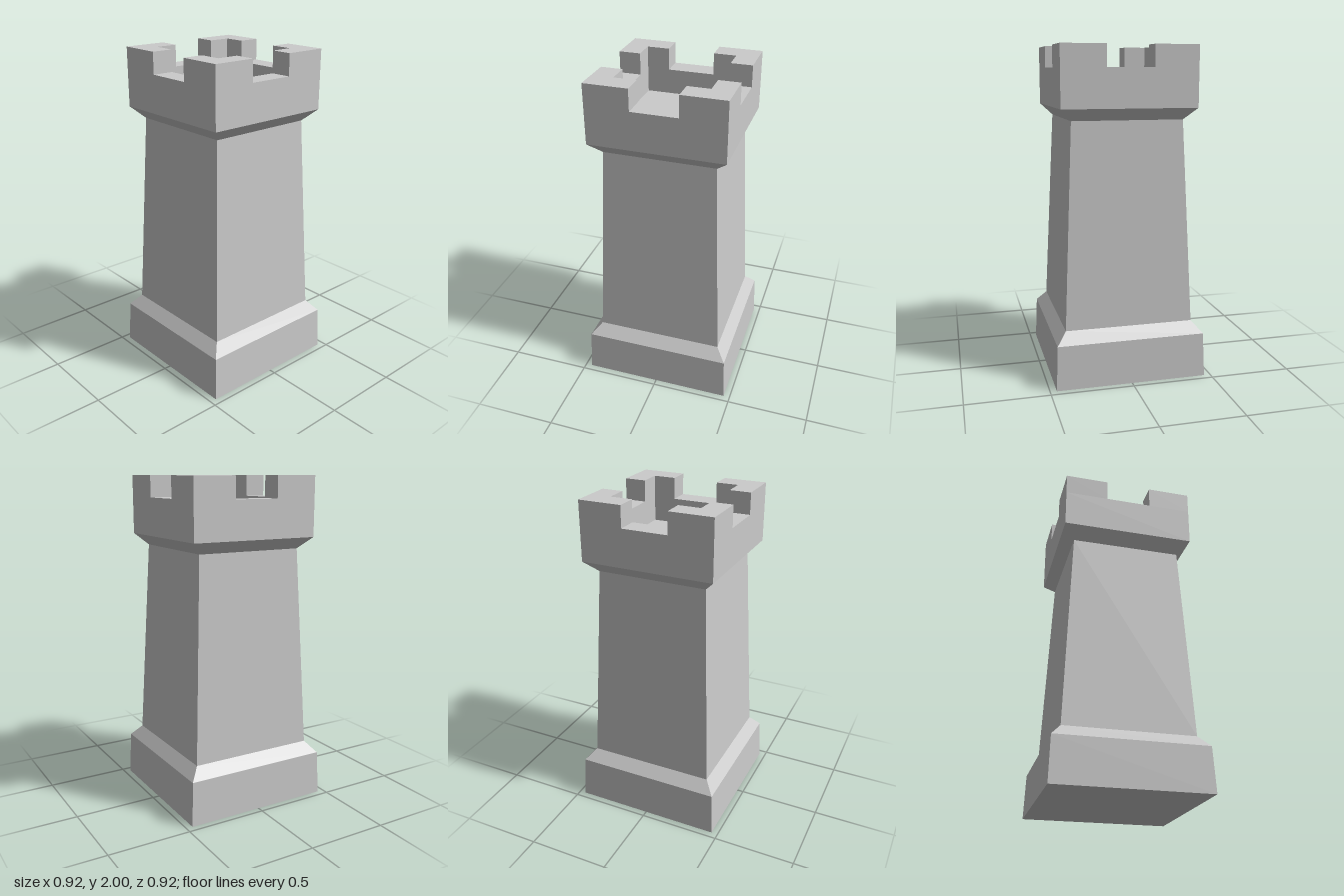
import * as THREE from 'three';

const material = new THREE.MeshStandardMaterial({ color: 0xcccccc, flatShading: true });

function addMesh(parent, name, geometry) {
  const flat = geometry.index ? geometry.toNonIndexed() : geometry;
  flat.computeVertexNormals();
  const mesh = new THREE.Mesh(flat, material);
  mesh.name = name;
  parent.add(mesh);
  return mesh;
}

// Square ring shell from [half-width, height] pairs, listed bottom to top
function squareLoft(profile) {
  const points = profile.map(([half, y]) => new THREE.Vector2(half * Math.SQRT2, y));
  return new THREE.LatheGeometry(points, 4, Math.PI / 4);
}

export function createModel() {
  const tower = new THREE.Group();
  tower.name = 'tower';

  const outer = 0.405, inner = 0.275, gap = 0.14;
  const floorY = 1.72, rimY = 1.87, topY = 2;

  // Footing with sloped shoulder, closed underneath
  addMesh(tower, 'base', squareLoft([[0, 0], [0.46, 0], [0.45, 0.27], [0.39, 0.34]]));

  // Tapering body
  addMesh(tower, 'shaft', squareLoft([[0.39, 0.34], [0.335, 1.57]]));

  // Flared collar, parapet wall and its inner face
  addMesh(tower, 'parapet', squareLoft([
    [0.335, 1.57], [outer, 1.64], [outer, rimY], [inner, rimY], [inner, floorY],
  ]));

  // Sunken roof floor and the raised slab at its centre
  addMesh(tower, 'roofFloor', squareLoft([[inner, floorY], [gap, floorY]]));
  addMesh(tower, 'roofSlab', squareLoft([[gap, floorY], [0.123, 1.77], [0, 1.77]]));

  // L-shaped battlement on each corner
  const corner = new THREE.Shape([
    [gap, inner], [inner, inner], [inner, gap], [outer, gap], [outer, outer], [gap, outer],
  ].map(([x, y]) => new THREE.Vector2(x, y)));
  const battlements = new THREE.Group();
  battlements.name = 'battlements';
  for (let i = 0; i < 4; i++) {
    const geometry = new THREE.ExtrudeGeometry(corner, { depth: topY - rimY, bevelEnabled: false });
    geometry.rotateX(-Math.PI / 2).rotateY(i * Math.PI / 2).translate(0, rimY, 0);
    addMesh(battlements, `cornerBattlement${i + 1}`, geometry);
  }
  tower.add(battlements);

  return tower;
}
